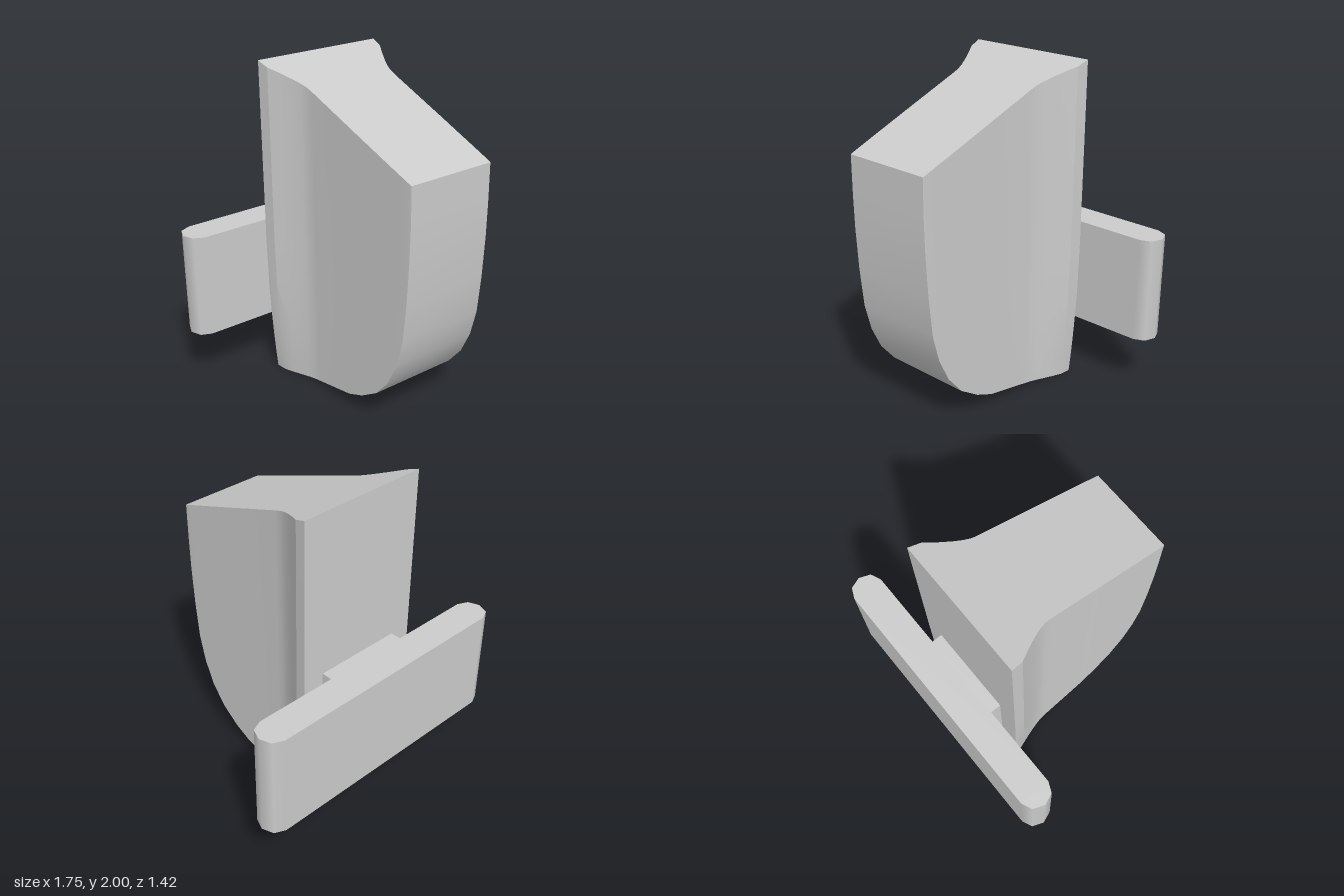
import * as THREE from 'three';
import { toCreasedNormals } from 'three/addons/utils/BufferGeometryUtils.js';

const material = new THREE.MeshStandardMaterial({ color: 0xcccccc });

// Sections from back to front: z, height of the underside, half width
const SECTIONS = [
  [-0.45, 0, 0.41], [-0.375, 0.002, 0.4], [-0.31, 0.004, 0.363], [-0.24, 0.01, 0.328],
  [-0.19, 0.016, 0.307], [-0.145, 0.022, 0.294], [-0.1, 0.03, 0.291], [0.2, 0.09, 0.286],
  [0.32, 0.14, 0.284], [0.45, 0.225, 0.281], [0.55, 0.345, 0.279], [0.62, 0.49, 0.277],
  [0.665, 0.66, 0.276], [0.69, 0.9, 0.275], [0.705, 1.15, 0.274], [0.71, 1.35, 0.273],
];
// Heights of the ring points, as fractions of the section height
const STEPS = [0, 0.06, 0.12, 0.2, 0.3, 0.45, 1];

function bodyGeometry() {
  const positions = [], indices = [];
  const n = STEPS.length, ring = 2 * n;
  for (const [z, low, width] of SECTIONS) {
    const high = 2 - 0.42 * (z + 0.45) / 1.16;      // slanted top
    const flare = Math.max(0, (width - 0.29) / 0.12);
    const side = STEPS.map((t) => {
      const y = low + t * (high - low);
      const taper = 0.045 * flare * Math.max(0, 1 - y / 0.9) ** 2; // flare narrows at the foot
      return [width - taper, y];
    });
    for (const [x, y] of side) positions.push(x, y, z);
    for (const [x, y] of side.reverse()) positions.push(-x, y, z);
  }
  const quad = (a, b, c, d) => indices.push(a, b, c, a, c, d);
  const last = (SECTIONS.length - 1) * ring;
  // Skin between sections
  for (let i = 0; i < last; i += ring) {
    for (let j = 0; j < ring; j++) {
      const k = (j + 1) % ring;
      quad(i + j, i + k, i + ring + k, i + ring + j);
    }
  }
  // Back and front faces
  for (let j = 0; j < n - 1; j++) {
    const a = j, b = j + 1, c = ring - 2 - j, d = ring - 1 - j;
    quad(d, c, b, a);
    quad(last + a, last + b, last + c, last + d);
  }
  const geometry = new THREE.BufferGeometry();
  geometry.setAttribute('position', new THREE.Float32BufferAttribute(positions, 3));
  geometry.setIndex(indices);
  return toCreasedNormals(geometry, 0.36);
}

export function createModel() {
  const model = new THREE.Group();
  const add = (name, geometry, x = 0, y = 0, z = 0) => {
    const mesh = new THREE.Mesh(geometry, material);
    mesh.name = name;
    mesh.position.set(x, y, z);
    model.add(mesh);
    return mesh;
  };

  // Flared body
  add('body', bodyGeometry());

  // Mounting plate behind the body, with a short stem and rounded ends
  const height = 0.645, midY = 0.6775, plateZ = -0.6125, radius = 0.0975;
  add('stem', new THREE.BoxGeometry(0.55, height, 0.07), 0, midY, -0.483);
  add('mountingPlate', new THREE.BoxGeometry(1.57, height, 2 * radius), 0, midY, plateZ);
  for (const s of [1, -1]) {
    const end = new THREE.CylinderGeometry(radius, radius, height, 4, 1, false, 0, Math.PI);
    end.scale(0.92, 1, 1);
    if (s < 0) end.rotateY(Math.PI);
    add(s > 0 ? 'leftPlateEnd' : 'rightPlateEnd', end, s * 0.785, midY, plateZ);
  }
  return model;
}
